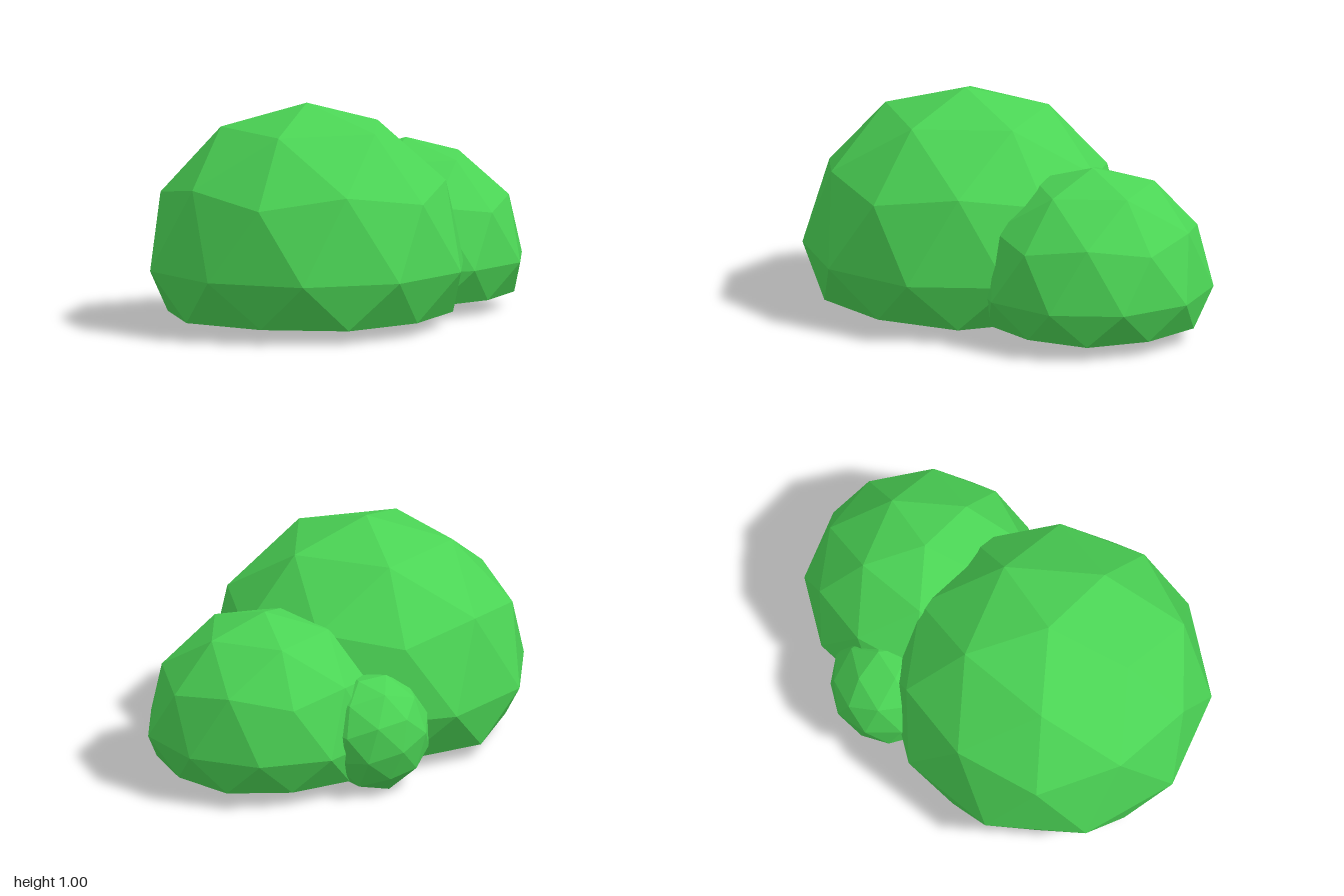
import * as THREE from 'three';

const leaf = new THREE.MeshStandardMaterial({ color: 0x4bd455, flatShading: true });

// Unit low-poly ball with a vertex at the top and its underside pressed flat
function domeGeometry() {
  const geo = new THREE.IcosahedronGeometry(1, 1);
  geo.rotateZ(-Math.atan(2 / (1 + Math.sqrt(5))));
  const pos = geo.attributes.position;
  for (let i = 0; i < pos.count; i++) pos.setY(i, Math.max(pos.getY(i), -0.288));
  geo.computeVertexNormals();
  return geo;
}

export function createModel() {
  const group = new THREE.Group();
  group.name = 'bush';

  const addClump = (name, radius, center, spin = 0, tilt = 0, yaw = 0) => {
    const geo = domeGeometry();
    geo.rotateY(spin).rotateZ(tilt).rotateY(yaw).scale(radius, radius, radius);
    const mesh = new THREE.Mesh(geo, leaf);
    mesh.name = name;
    mesh.position.set(...center);
    group.add(mesh);
  };

  // Two upright clumps, and a small one lying on its side in the gap between them
  addClump('frontClump', 0.73, [0, 0.28, 0.27]);
  addClump('backClump', 0.54, [0, 0.23, -0.46]);
  addClump('sideClump', 0.27, [-0.455, 0.25, -0.275], Math.PI / 10, 1.1, -0.15);

  return group;
}
